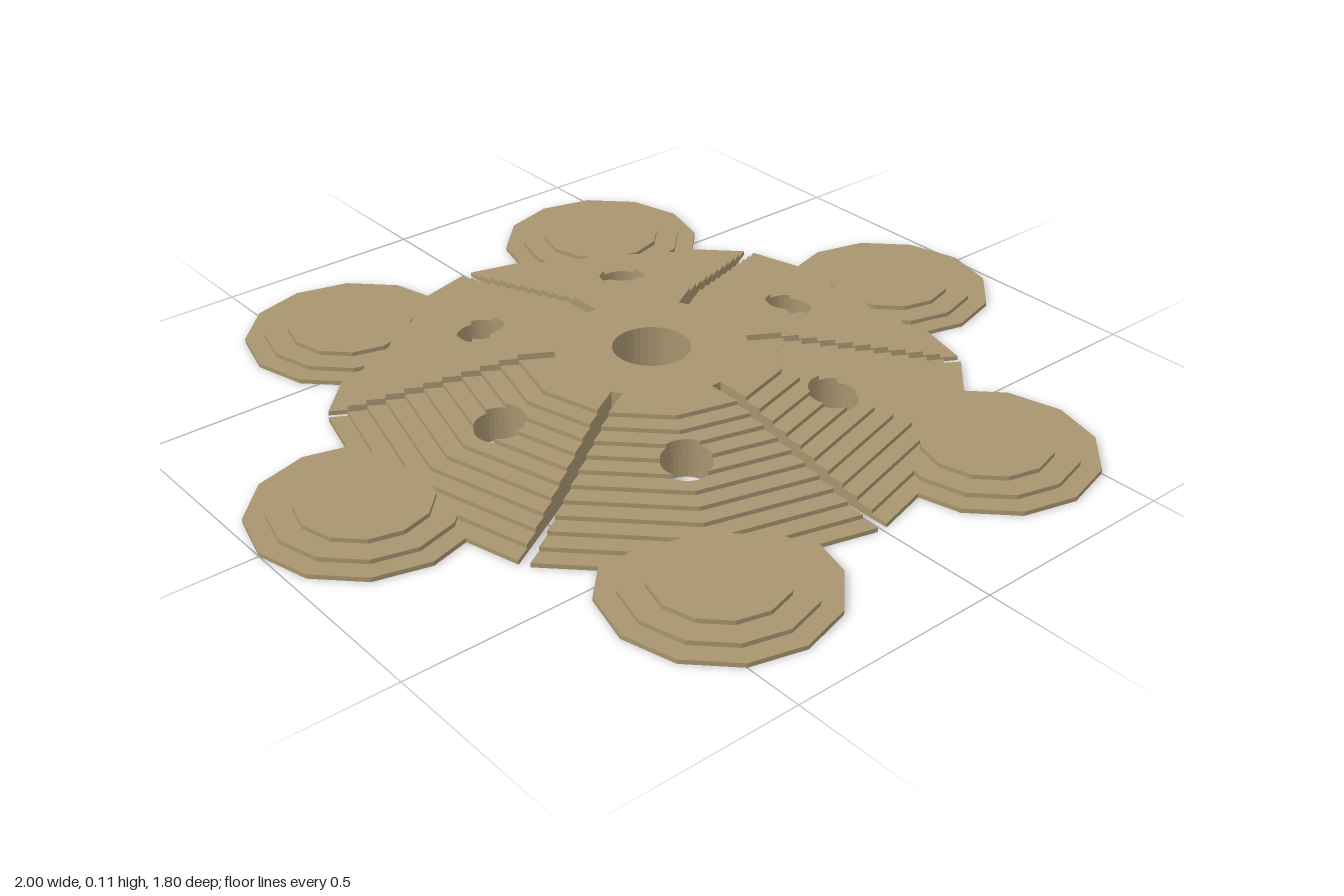
import * as THREE from 'three';

const LAYERS = 11, STEP = 0.0102;          // stacked terraces
const R_BASE = 0.72, R_TOP = 0.3;          // 12-gon radii, bottom and top
const SLOT_IN = 0.215, SLOT_HALF = 0.0125; // radial slots
const HOLE_AT = 0.417, HOLE_R = 0.055, BORE_R = 0.088;
const LOBE_AT = 0.755, LOBE_RADII = [0.245, 0.2, 0.145];

const turn = (x, y, a) => new THREE.Vector2(x, y).rotateAround(new THREE.Vector2(), a);

function circle(cx, cy, r, n = 32) {
  const pts = [];
  for (let i = 0; i < n; i++) {
    const a = -i / n * Math.PI * 2;
    pts.push(new THREE.Vector2(cx + r * Math.cos(a), cy + r * Math.sin(a)));
  }
  return new THREE.Path(pts);
}

// Corner at the middle of a sector, bitten away where the rim crosses a hole
function sectorCorner(r) {
  const d = r - HOLE_AT;
  if (Math.abs(d) >= HOLE_R) return [[r, 0]];
  const s = Math.sin(Math.PI / 12), c = Math.cos(Math.PI / 12);
  const t = d * s + Math.sqrt(d * d * s * s - d * d + HOLE_R * HOLE_R);
  const a = Math.atan2(t * c, d - t * s), n = 20, pts = [];
  for (let i = 0; i <= n; i++) {
    const b = -a - (2 * Math.PI - 2 * a) * i / n;
    pts.push([HOLE_AT + HOLE_R * Math.cos(b), HOLE_R * Math.sin(b)]);
  }
  return pts;
}

// One 12-sided terrace with six slots, six holes and the centre bore
function terrace(r) {
  const pts = [], holes = [circle(0, 0, BORE_R)];
  const rim = r - SLOT_HALF * Math.tan(Math.PI / 12);
  for (let k = 0; k < 6; k++) {
    const a = k * Math.PI / 3;
    for (const [x, y] of sectorCorner(r)) pts.push(turn(x, y, a));
    for (const [x, y] of [[rim, -SLOT_HALF], [SLOT_IN, -SLOT_HALF], [SLOT_IN, SLOT_HALF], [rim, SLOT_HALF]])
      pts.push(turn(x, y, a + Math.PI / 6));
    if (r >= HOLE_AT + HOLE_R) {
      const c = turn(HOLE_AT, 0, a);
      holes.push(circle(c.x, c.y, HOLE_R));
    }
  }
  const shape = new THREE.Shape(pts);
  shape.holes = holes;
  const geo = new THREE.ExtrudeGeometry(shape, { depth: STEP, bevelEnabled: false });
  return geo.rotateX(-Math.PI / 2);
}

export function createModel() {
  const group = new THREE.Group();
  const material = new THREE.MeshStandardMaterial({ color: 0xa8946f, flatShading: true });

  // Stepped body
  const body = new THREE.Group();
  body.name = 'steppedBody';
  for (let k = 0; k < LAYERS; k++) {
    const r = THREE.MathUtils.lerp(R_BASE, R_TOP, k / (LAYERS - 1));
    const mesh = new THREE.Mesh(terrace(r), material);
    mesh.name = `terrace${k + 1}`;
    mesh.position.y = k * STEP;
    body.add(mesh);
  }
  group.add(body);

  // Six stepped lobes around the rim
  for (let k = 0; k < 6; k++) {
    const a = k * Math.PI / 3;
    const lobe = new THREE.Group();
    lobe.name = `lobe${k + 1}`;
    lobe.position.set(LOBE_AT * Math.cos(a), 0, LOBE_AT * Math.sin(a));
    LOBE_RADII.forEach((r, i) => {
      const disc = new THREE.Mesh(new THREE.CylinderGeometry(r, r, STEP, 12), material);
      disc.name = `lobeStep${i + 1}`;
      disc.position.y = (i + 0.5) * STEP;
      lobe.add(disc);
    });
    group.add(lobe);
  }
  return group;
}
